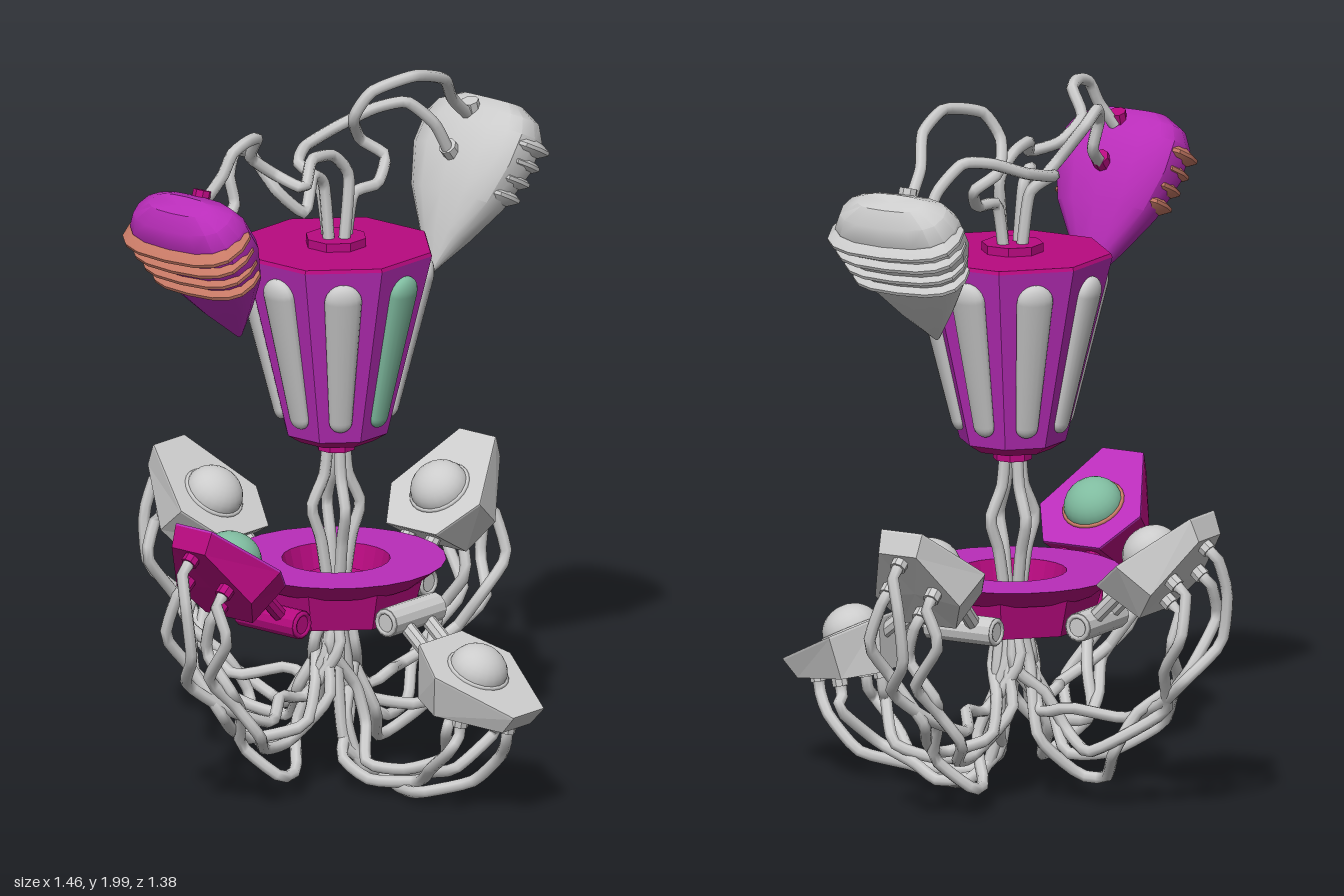
import * as THREE from 'three';
import { toCreasedNormals } from 'three/addons/utils/BufferGeometryUtils.js';

const V = (x, y, z) => new THREE.Vector3(x, y, z);
const mat = (color, flatShading = false) =>
  new THREE.MeshStandardMaterial({ color, flatShading, side: THREE.DoubleSide });
const GREY = 0xcccccc, PURPLE = 0xb92db9, MAGENTA = 0xb80a80, GREEN = 0x7fbb9f, ORANGE = 0xc87a66;

function add(parent, name, geometry, color = GREY, flat = false) {
  const mesh = new THREE.Mesh(geometry, mat(color, flat));
  mesh.name = name;
  parent.add(mesh);
  return mesh;
}

// Skin over rings of points (counter-clockwise from above, listed bottom to top), capped at both ends
function loft(rings) {
  const out = [], put = (...ps) => ps.forEach(p => out.push(p.x, p.y, p.z));
  const n = rings[0].length;
  const mid = r => r.reduce((s, p) => s.add(p), V(0, 0, 0)).divideScalar(n);
  const first = rings[0], last = rings[rings.length - 1];
  const c0 = mid(first), c1 = mid(last);
  for (let j = 0; j < n; j++) {
    const k = (j + 1) % n;
    for (let i = 0; i < rings.length - 1; i++) {
      const [a, b, c, d] = [rings[i][j], rings[i][k], rings[i + 1][k], rings[i + 1][j]];
      put(a, b, c, a, c, d);
    }
    put(c0, first[k], first[j], c1, last[j], last[k]);
  }
  const g = new THREE.BufferGeometry();
  g.setAttribute('position', new THREE.Float32BufferAttribute(out, 3));
  g.computeVertexNormals();
  return g;
}

// Straight round bar between two points
function bar(parent, name, a, b, radius, color, sides = 8) {
  const dir = b.clone().sub(a);
  const m = add(parent, name, new THREE.CylinderGeometry(radius, radius, dir.length(), sides), color, true);
  m.position.copy(a).add(b).multiplyScalar(0.5);
  m.quaternion.setFromUnitVectors(V(0, 1, 0), dir.normalize());
}

function cable(parent, points, segments = 34) {
  const curve = new THREE.CatmullRomCurve3(points, false, 'catmullrom', 0.3);
  add(parent, 'cable', new THREE.TubeGeometry(curve, segments, 0.017, 7));
}

// Eight-sided prism with a flat side to the front; sizes are to the flats
function octagon(parent, name, top, bottom, y0, y1, color) {
  const k = Math.cos(Math.PI / 8);
  const g = new THREE.CylinderGeometry(top / k, bottom / k, y1 - y0, 8, 1, false, Math.PI / 8);
  add(parent, name, g, color, true).position.y = (y0 + y1) / 2;
}

// Lantern body with one domed window on each side
function lantern() {
  const g = new THREE.Group();
  g.name = 'lantern';
  octagon(g, 'lanternShell', 0.257, 0.137, 1.01, 1.532, PURPLE);
  octagon(g, 'lanternLid', 0.253, 0.257, 1.532, 1.542, MAGENTA);
  octagon(g, 'lanternBase', 0.137, 0.10, 0.985, 1.01, MAGENTA);
  octagon(g, 'lowerNeck', 0.05, 0.05, 0.955, 0.99, MAGENTA);
  octagon(g, 'upperNeck', 0.08, 0.08, 1.54, 1.566, MAGENTA);
  const profile = [];
  for (const [radius, y, from] of [[0.032, -0.2, -Math.PI / 2], [0.052, 0.18, 0]]) {
    for (let i = 0; i <= 6; i++) {
      const a = from + i * Math.PI / 12;
      profile.push(new THREE.Vector2(radius * Math.cos(a), y + radius * Math.sin(a)));
    }
  }
  const windowGeo = new THREE.LatheGeometry(profile, 16);
  for (let k = 0; k < 8; k++) {
    const side = new THREE.Group();
    side.rotation.y = k * Math.PI / 4;
    const w = add(side, 'window', windowGeo, k === 0 ? GREEN : GREY);
    w.position.set(0, 1.27, 0.202);
    w.rotation.x = 0.225;
    w.scale.z = 0.55;
    g.add(side);
  }
  return g;
}

// Round collar on an eight-sided hollow base, with a hub in the middle
function collar() {
  const g = new THREE.Group();
  g.name = 'collar';
  const lathe = (name, pts, sides, color) => add(g, name,
    new THREE.LatheGeometry(pts.map(p => new THREE.Vector2(...p)), sides, Math.PI / 8), color, true);
  lathe('collarTop', [[0.305, 0.64], [0.15, 0.64]], 24, PURPLE);
  lathe('collarUnderside', [[0.235, 0.585], [0.305, 0.64]], 24, MAGENTA);
  lathe('collarWell', [[0.15, 0.64], [0.13, 0.56], [0, 0.56]], 24, MAGENTA);
  lathe('collarBase', [[0.13, 0.56], [0.18, 0.49], [0.22, 0.49], [0.25, 0.60]], 8, MAGENTA);
  octagon(g, 'hub', 0.08, 0.08, 0.50, 0.59, MAGENTA);
  return g;
}

const hexagon = (y, pts) => [...pts.map(([x, z, dy = 0]) => V(x, y + dy, z)),
  ...pts.slice().reverse().map(([x, z, dy = 0]) => V(-x, y + dy, z))];

// Cable sockets on the back of a pod, in a diamond: sideways, below the face, along the face
const SOCKETS = [[0, -0.07, 0.305], [0.07, -0.108, 0.2], [-0.07, -0.108, 0.2], [0, -0.13, 0.11]];

// Hinged arm: wedge pod with a lamp, its rods, and the cables that sweep under to the hub
function arm(angle, tilt, radius, height, paths, coloured) {
  const g = new THREE.Group();
  g.name = 'arm';
  g.rotation.y = angle;
  const main = coloured ? MAGENTA : GREY;
  const place = (x, n, u) => V(x, n, u).applyAxisAngle(V(1, 0, 0), tilt).add(V(0, height, radius));

  const pod = new THREE.Group();
  pod.name = 'pod';
  pod.rotation.x = tilt;
  pod.position.set(0, height, radius);
  g.add(pod);
  const face = [[0.065, 0.355], [0.16, 0.13], [0.09, 0]];
  const back = [[0.06, 0.338, -0.066], [0.135, 0.16, -0.12], [0.085, 0.06, -0.145]];
  add(pod, 'podBody', loft([hexagon(0, back), hexagon(-0.006, face)]), main, true);
  add(pod, 'podFace', loft([hexagon(-0.006, face), hexagon(0, face)]), coloured ? PURPLE : GREY, true);
  const rim = add(pod, 'lampRim', new THREE.TorusGeometry(0.083, 0.007, 6, 24), coloured ? ORANGE : GREY);
  rim.rotation.x = Math.PI / 2;
  rim.position.z = 0.152;
  const lamp = add(pod, 'lamp', new THREE.SphereGeometry(0.083, 20, 8, 0, Math.PI * 2, 0, Math.PI / 2),
    coloured ? GREEN : GREY);
  lamp.position.z = 0.152;
  lamp.scale.y = 0.85;

  bar(g, 'hinge', V(-0.105, 0.527, 0.27), V(0.105, 0.527, 0.27), 0.041, main, 12);
  for (const s of [-1, 1]) {
    const ring = add(g, 'hingeRing', new THREE.TorusGeometry(0.032, 0.007, 5, 12), main);
    ring.rotation.y = Math.PI / 2;
    ring.position.set(s * 0.105, 0.527, 0.27);
    bar(g, 'rod', V(s * 0.045, 0.527, 0.27), place(s * 0.045, -0.045, 0.045), 0.021, main);
  }
  SOCKETS.forEach(([x, n, u], i) => {
    const tip = place(x, n - 0.025, u + 0.01);
    bar(g, 'socket', place(x, n + 0.015, u), tip, 0.023, main);
    // Each strand wanders from side to side on its way in
    const mids = paths[i].map(([r, y], j) => V(x * (1 - j * 0.15) + 0.05 * Math.sin(j * 1.9 + i * 1.7 + 0.6), y, r));
    cable(g, [tip, place(x, n - 0.055, u + 0.02), ...mids, V(x * 0.3, 0.52, 0.02)]);
  });
  return g;
}

// Claw: tapered shell with ribs round its outer side
function claw(coloured) {
  const g = new THREE.Group();
  g.name = 'claw';
  g.position.set(-0.64, 1.80, 0);
  g.rotation.z = 0.481;
  const ring = ([s, out, inn, half]) => Array.from({ length: 16 }, (_, j) => {
    const t = j / 16 * Math.PI * 2, soft = v => Math.sign(v) * Math.abs(v) ** 0.72;
    return V((out + inn) / 2 + soft(Math.sin(t)) * (inn - out) / 2, -s, soft(Math.cos(t)) * half);
  });
  const sections = [[0.485, -0.002, 0.014, 0.006], [0.38, -0.046, 0.048, 0.078], [0.27, -0.082, 0.078, 0.145],
    [0.15, -0.114, 0.09, 0.184], [0.06, -0.118, 0.075, 0.184], [0.015, -0.1, 0.055, 0.16], [-0.018, -0.06, 0.012, 0.1]];
  add(g, 'clawShell', toCreasedNormals(loft(sections.map(ring)), 0.6), coloured ? PURPLE : GREY);
  for (let i = 0; i < 4; i++) {
    const s = 0.085 + i * 0.05, out = -0.12 + i * 0.011, half = 0.186 - i * 0.01;
    const rib = [[s + 0.024, out + 0.012, 0.04, half - 0.008], [s + 0.005, out - 0.026, 0.065, half + 0.016],
      [s - 0.005, out - 0.026, 0.065, half + 0.016], [s - 0.024, out + 0.012, 0.04, half - 0.008]];
    add(g, 'rib', toCreasedNormals(loft(rib.map(ring)), 0.6), coloured ? ORANGE : GREY);
  }
  const trim = coloured ? MAGENTA : GREY;
  bar(g, 'upperSocket', V(0.035, -0.05, 0), V(0.075, -0.01, 0), 0.026, trim);
  bar(g, 'lowerSocket', V(0.07, -0.165, 0), V(0.108, -0.15, 0), 0.026, trim);
  return g;
}

export function createModel() {
  const model = new THREE.Group();
  model.name = 'cableLantern';
  model.add(lantern(), collar());

  // Four arms: the front one hangs low, the others are raised
  const raised = [
    [[0.67, 0.64], [0.65, 0.5], [0.58, 0.4], [0.47, 0.31], [0.33, 0.25], [0.2, 0.28], [0.1, 0.26], [0.04, 0.4]],
    [[0.59, 0.55], [0.56, 0.42], [0.49, 0.34], [0.43, 0.24], [0.31, 0.16], [0.18, 0.15], [0.09, 0.27], [0.04, 0.4]],
    [[0.6, 0.53], [0.53, 0.43], [0.49, 0.3], [0.38, 0.22], [0.28, 0.17], [0.16, 0.2], [0.1, 0.3], [0.03, 0.38]],
    [[0.52, 0.48], [0.5, 0.37], [0.4, 0.28], [0.35, 0.17], [0.28, 0.08], [0.2, 0.08], [0.11, 0.19], [0.05, 0.38]]];
  const lowered = [
    [[0.57, 0.17], [0.47, 0.08], [0.34, 0.04], [0.23, 0.022], [0.12, 0.04], [0.06, 0.12], [0.03, 0.3]],
    [[0.49, 0.21], [0.42, 0.11], [0.29, 0.07], [0.18, 0.04], [0.09, 0.06], [0.05, 0.2], [0.02, 0.34]],
    [[0.5, 0.2], [0.41, 0.13], [0.3, 0.055], [0.17, 0.045], [0.08, 0.1], [0.03, 0.2], [0.03, 0.36]],
    [[0.42, 0.22], [0.35, 0.12], [0.25, 0.08], [0.15, 0.09], [0.08, 0.17], [0.05, 0.28], [0.02, 0.4]]];
  model.add(arm(0, 0.457, 0.378, 0.482, lowered, false));
  for (const k of [1, 2, 3]) model.add(arm(k * Math.PI / 2, -0.644, 0.32, 0.65, raised, k === 3));

  // Strands between lantern and collar
  for (let k = 0; k < 4; k++) {
    const a = k * Math.PI / 2 + 0.5, c = Math.cos(a), s = Math.sin(a);
    cable(model, [[0.025, 0.97], [0.035, 0.88], [0.072, 0.79], [0.045, 0.7], [0.025, 0.57]]
      .map(([r, y]) => V(r * c, y, r * s)), 14);
  }

  // Claws and their cables
  model.add(claw(true));
  const left = new THREE.Group();
  left.name = 'leftClaw';
  left.rotation.y = Math.PI;
  left.add(claw(false));
  model.add(left);
  const runs = [
    [[-0.56, 1.79, 0], [-0.52, 1.86, 0.03], [-0.49, 1.92, 0.04], [-0.43, 1.94, 0.04], [-0.36, 1.93, 0.02],
      [-0.33, 1.86, -0.03], [-0.26, 1.8, 0], [-0.23, 1.77, 0.08], [-0.14, 1.82, 0.03], [-0.04, 1.81, 0.02],
      [0.02, 1.74, 0.03], [0, 1.55, 0.03]],
    [[-0.48, 1.7, 0], [-0.42, 1.75, -0.01], [-0.42, 1.83, -0.03], [-0.36, 1.88, -0.06], [-0.28, 1.85, -0.07],
      [-0.25, 1.75, 0], [-0.18, 1.68, 0.04], [-0.1, 1.76, 0], [-0.04, 1.72, -0.01], [-0.03, 1.55, 0]],
    [[0.56, 1.79, 0], [0.47, 1.86, 0.02], [0.39, 1.94, 0.06], [0.25, 1.982, 0.07], [0.13, 1.955, 0.02],
      [0.1, 1.88, -0.02], [0.16, 1.8, -0.05], [0.21, 1.75, 0], [0.14, 1.69, 0.03], [0.05, 1.68, 0.02], [0.03, 1.55, 0.01]],
    [[0.48, 1.7, 0], [0.43, 1.79, -0.01], [0.36, 1.86, -0.05], [0.28, 1.85, -0.1], [0.18, 1.81, -0.15],
      [0.06, 1.78, -0.16], [-0.03, 1.76, -0.11], [-0.01, 1.71, -0.05], [0, 1.55, -0.03]],
  ];
  for (const run of runs) cable(model, run.map(p => V(...p)), 48);
  return model;
}
